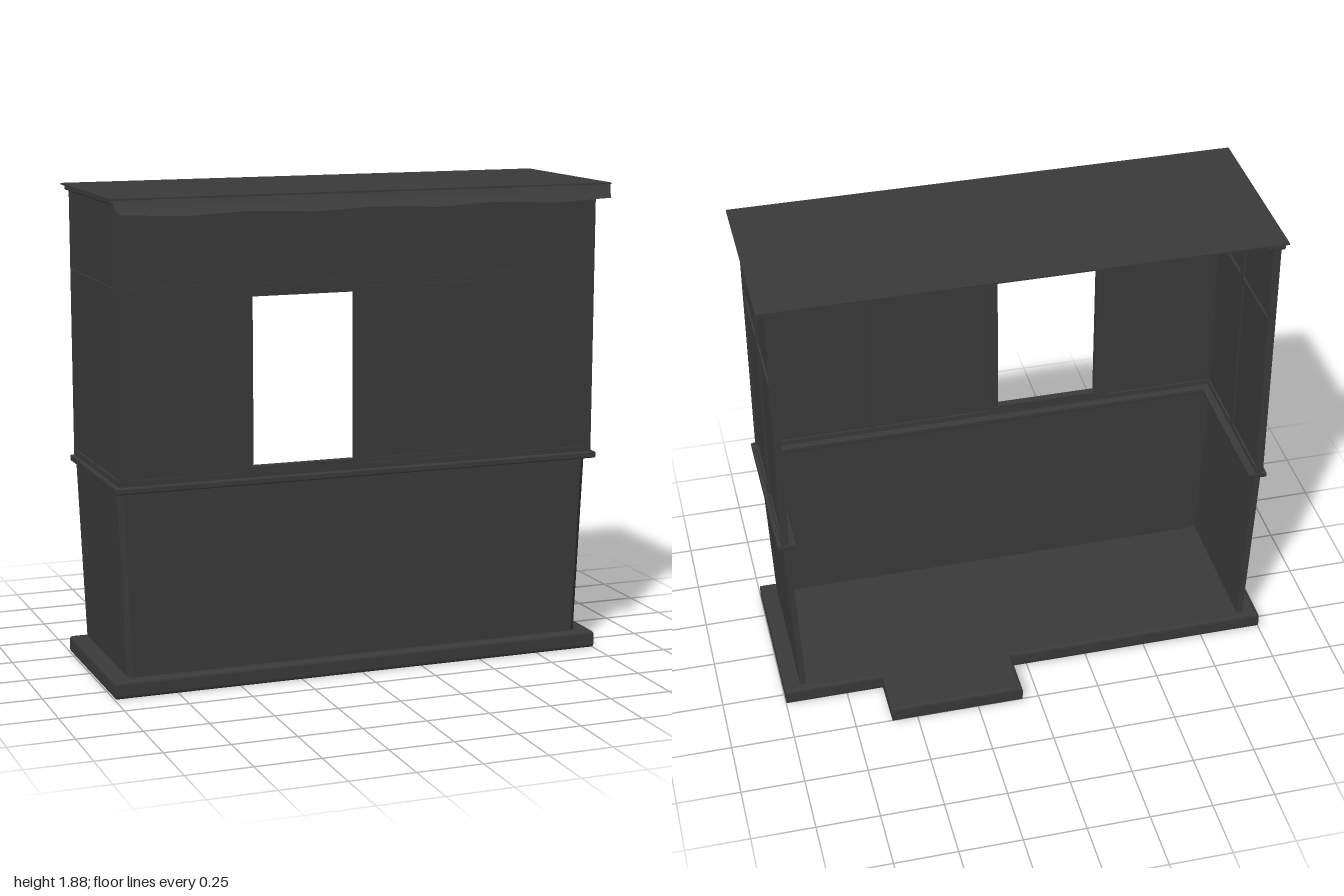
import * as THREE from 'three';

const charcoal = new THREE.MeshStandardMaterial({ color: 0x3a3a3a });
charcoal.name = 'charcoal';
const charcoalSheet = charcoal;
charcoalSheet.side = THREE.DoubleSide;

function add(parent, name, geometry, x = 0, y = 0, z = 0) {
  const mesh = new THREE.Mesh(geometry, charcoal);
  mesh.name = name;
  mesh.position.set(x, y, z);
  parent.add(mesh);
  return mesh;
}

const box = (w, h, d) => new THREE.BoxGeometry(w, h, d);

function polygon(points) {
  return new THREE.Shape(points.map(([x, y]) => new THREE.Vector2(x, y)));
}

function rectPath(u0, u1, v0, v1) {
  return new THREE.Path([[u0, v0], [u0, v1], [u1, v1], [u1, v0]].map(([u, v]) => new THREE.Vector2(u, v)));
}

// Plan outline (x, -z) extruded upwards from y0 to y1, with an optional rounded edge
function plate(shape, y0, y1, bevel = 0) {
  const g = new THREE.ExtrudeGeometry(shape, {
    depth: y1 - y0 - 2 * bevel, bevelEnabled: bevel > 0, bevelSize: bevel,
    bevelThickness: bevel, bevelOffset: -bevel, bevelSegments: 3,
  });
  return g.rotateX(-Math.PI / 2).translate(0, y0 + bevel, 0);
}

// Three-sided plan, open at the back, with chamfered front corners
function openPlan(x, front, back, t, c) {
  return polygon([
    [-x, -back], [-x, -front + c], [-x + c, -front], [x - c, -front], [x, -front + c], [x, -back],
    [x - t, -back], [x - t, -front + t], [-x + t, -front + t], [-x + t, -back],
  ]);
}

// Framed wall: a sheet with openings, each filled by a thin recessed pane unless left open
function framedWall(name, u0, u1, v0, v1, bays) {
  const depth = 0.03;
  const group = new THREE.Group();
  group.name = name;
  const shape = polygon([[u0, v0], [u1, v0], [u1, v1], [u0, v1]]);
  for (const b of bays) shape.holes.push(rectPath(b.u0, b.u1, b.v0, b.v1));
  add(group, 'frame', new THREE.ExtrudeGeometry(shape, { depth, bevelEnabled: false }), 0, 0, -depth);
  for (const b of bays) {
    if (b.open) continue;
    add(group, 'pane', box(b.u1 - b.u0, b.v1 - b.v0, 0.014), (b.u0 + b.u1) / 2, (b.v0 + b.v1) / 2, -depth / 2);
  }
  return group;
}

export function createModel() {
  const model = new THREE.Group();
  model.name = 'kiosk';

  // Base slab with a doorstep at the back
  const basePlan = polygon([
    [-1, -0.37], [1, -0.37], [1, 0.31], [0.605, 0.31], [0.605, 0.51], [0.068, 0.51], [0.068, 0.31], [-1, 0.31],
  ]);
  add(model, 'base', plate(basePlan, 0, 0.07, 0.014));

  // Lower walls, narrowing towards the floor
  const lower = plate(openPlan(0.965, 0.337, -0.285, 0.025, 0.02), 0.065, 0.795);
  const p = lower.attributes.position;
  for (let i = 0; i < p.count; i++) {
    const k = (0.795 - p.getY(i)) / 0.73;
    p.setX(i, p.getX(i) * (1 - 0.031 * k));
    p.setZ(i, p.getZ(i) * (1 - 0.018 * k));
  }
  lower.computeVertexNormals();
  add(model, 'lowerWalls', lower);

  // Counter rail and top rail
  add(model, 'counterRail', plate(openPlan(0.985, 0.385, -0.297, 0.075, 0.004), 0.788, 0.814, 0.006));
  add(model, 'topRail', plate(openPlan(0.985, 0.38, -0.297, 0.07, 0.004), 1.858, 1.882, 0.005));

  // Upper front wall: four bays, one of them the serving window
  const rows = [[0.835, 1.52], [1.55, 1.845]];
  const frontBays = [];
  for (let i = 0; i < 4; i++) {
    const u0 = i === 0 ? -0.94 : -0.97 + i * 0.485 + 0.015;
    const u1 = i === 3 ? 0.94 : -0.97 + (i + 1) * 0.485 - 0.015;
    rows.forEach(([v0, v1], r) => frontBays.push(
      i === 1 && r === 0 ? { u0: -0.445, u1: -0.035, v0: 0.855, v1: 1.5, open: true } : { u0, u1, v0, v1 }));
  }
  const front = framedWall('frontWall', -0.97, 0.97, 0.81, 1.862, frontBays);
  front.position.z = 0.365;
  model.add(front);

  // Upper side walls: two bays by two rows
  for (const side of [1, -1]) {
    const bays = [];
    for (const [z0, z1] of [[0.04, 0.335], [-0.285, 0.01]]) {
      for (const [v0, v1] of rows) {
        bays.push({ u0: Math.min(-side * z0, -side * z1), u1: Math.max(-side * z0, -side * z1), v0, v1 });
      }
    }
    const ends = [side * 0.295, -side * 0.365].sort((a, b) => a - b);
    const wall = framedWall(side > 0 ? 'leftWall' : 'rightWall', ends[0], ends[1], 0.81, 1.862, bays);
    wall.rotation.y = side * Math.PI / 2;
    wall.position.x = side * 0.97;
    model.add(wall);
  }

  // Sliding shutter beside the window
  const shutter = framedWall('shutter', 0.01, 0.455, 0.84, 1.52, [{ u0: 0.03, u1: 0.44, v0: 0.857, v1: 1.503 }]);
  shutter.position.z = 0.376;
  model.add(shutter);

  // Flat roof sheet
  add(model, 'roof', box(2, 0.006, 0.735), 0, 1.882, 0.0675);

  // Drooping awning edge with a zigzag hem
  const profile = [[0.43, 1.885], [0.437, 1.868], [0.448, 1.85], [0.464, 1.836], [0.475, 1.83]];
  const awning = new THREE.PlaneGeometry(2, 1, 8, profile.length - 1);
  const a = awning.attributes.position;
  for (let i = 0; i < a.count; i++) {
    const column = i % 9;
    const row = Math.floor(i / 9);
    const t = row / (profile.length - 1);
    const [z, y] = profile[row];
    const point = column % 2;
    a.setXYZ(i, a.getX(i) * (1 - 0.02 * t), y - point * 0.008 * t, z + point * 0.025 * t);
  }
  awning.computeVertexNormals();
  add(model, 'awning', awning);

  return model;
}
